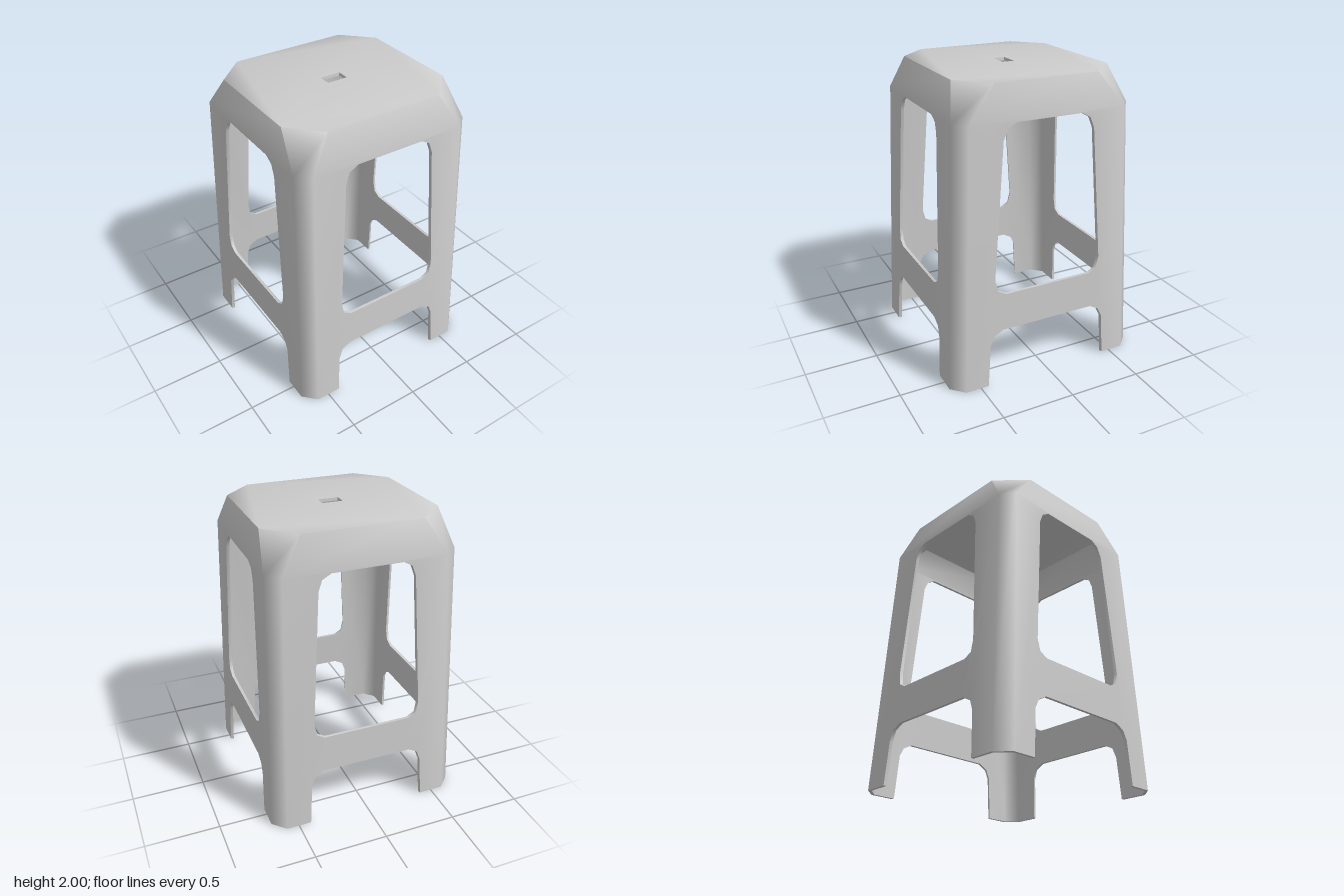
import * as THREE from 'three';
import { toCreasedNormals } from 'three/addons/utils/BufferGeometryUtils.js';

const T = 0.02;        // wall thickness
const H = 1.775;       // height where the walls bend into the seat
const TOP = 2;

// Walls facing z and x: distance from centre, and half width, at floor, bend and seat.
const zSide = {
  w: [0.69, 0.61, 0.545], c: [0.585, 0.54, 0.4],
  arch: [[0.415, 0], [0.4, 0.29], [0.375, 0.36], [0.31, 0.395]],
  window: [[0.3, 0.65], [0.355, 0.68], [0.37, 0.76], [0.32, 1.66], [0.295, 1.73], [0.235, 1.763]],
};
const xSide = {
  w: [0.67, 0.627, 0.59], c: [0.605, 0.535, 0.355],
  arch: [[0.445, 0], [0.425, 0.3], [0.395, 0.36], [0.33, 0.395]],
  window: [[0.31, 0.65], [0.365, 0.68], [0.385, 0.76], [0.315, 1.66], [0.285, 1.73], [0.225, 1.763]],
};
const sides = [zSide, xSide, zSide, xSide];   // front, left, back, right

const mirror = (pts) => pts.map(([u, y]) => [-u, y]).reverse();
const lerp = THREE.MathUtils.lerp;

// Turn a point on the front wall onto wall k
function turn(k, u, y, w) {
  return [[u, y, w], [w, y, -u], [-u, y, -w], [-w, y, u]][k % 4];
}

// Point on wall k at width u, height y and depth d into the wall
function wallPoint(k, u, y, d) {
  const s = sides[k % 4], f = y / H;
  const c = lerp(s.c[0], s.c[1], f);
  return turn(k, u * (1 - 0.414 * d / c), y, lerp(s.w[0], s.w[1], f) - d);
}

// Point of the wall border (sign -1 or 1) at the floor or the bend
const border = (k, sign, level, d) =>
  wallPoint(k, sign * sides[k % 4].c[level], level * H, d);

// Point on the seat plate; depth shrinks it to the inner skin
const seatPoint = (x, v, d) => {
  const s = 1 - d / 0.57;
  return [x * s, TOP - d, -v * s];
};
const seatCorner = (k, sign, d) => {
  const s = sides[k % 4];
  const [x, , z] = turn(k, sign * s.c[2], 0, s.w[2]);
  return seatPoint(x, -z, d);
};

export function createModel() {
  const pos = [];
  const tri = (a, b, c) => pos.push(...a, ...b, ...c);
  const quad = (a, b, c, d) => { tri(a, b, c); tri(a, c, d); };

  // Outer and inner skin between four points given as functions of depth
  const skin = (a, b, c, d) => {
    quad(a(0), b(0), c(0), d(0));
    quad(d(T), c(T), b(T), a(T));
  };
  // Narrow edge of the sheet along a list of points
  const rim = (pts, map) => {
    for (let i = 0; i + 1 < pts.length; i++) {
      const [a, b] = [pts[i], pts[i + 1]];
      quad(map(...a, 0), map(...a, T), map(...b, T), map(...b, 0));
    }
  };
  // Sheet with a counter-clockwise outline and one clockwise hole
  const sheet = (outline, hole, map) => {
    const v2 = (pts) => pts.map((p) => new THREE.Vector2(...p));
    const all = [...outline, ...hole];
    for (const [a, b, c] of THREE.ShapeUtils.triangulateShape(v2(outline), [v2(hole)])) {
      tri(map(...all[a], 0), map(...all[b], 0), map(...all[c], 0));
      tri(map(...all[c], T), map(...all[b], T), map(...all[a], T));
    }
    rim([...hole, hole[0]], map);
  };

  const parts = [];
  const part = (name, build) => {
    const start = pos.length;
    build();
    parts.push({ name, start, end: pos.length });
  };
  const sideNames = ['front', 'left', 'back', 'right'];
  const cornerNames = ['frontLeft', 'backLeft', 'backRight', 'frontRight'];

  for (let k = 0; k < 4; k++) {
    const s = sides[k];
    // Wall with window, rung and leg flanges
    part(sideNames[k] + 'Panel', () => {
      const map = (u, y, d) => wallPoint(k, u, y, d);
      const foot = [[-s.c[0], 0], ...mirror(s.arch).reverse(), ...[...s.arch].reverse(), [s.c[0], 0]];
      const outline = [...foot, [s.c[1], H], [-s.c[1], H]];
      const hole = [...s.window, ...mirror(s.window)].reverse();
      sheet(outline, hole, map);
      rim(foot, map);
    });
    // Chamfered corner of the leg
    part(cornerNames[k] + 'Leg', () => {
      const a = (d) => border(k, 1, 0, d), b = (d) => border(k + 1, -1, 0, d);
      skin(a, b, (d) => border(k + 1, -1, 1, d), (d) => border(k, 1, 1, d));
      quad(a(0), a(T), b(T), b(0));
    });
  }

  // Sloping band from the walls up to the seat
  part('seatShoulder', () => {
    for (let k = 0; k < 4; k++) {
      const wall = (j, sign) => (d) => border(j, sign, 1, d);
      const seat = (j, sign) => (d) => seatCorner(j, sign, d);
      skin(wall(k, -1), wall(k, 1), seat(k, 1), seat(k, -1));
      skin(wall(k, 1), wall(k + 1, -1), seat(k + 1, -1), seat(k, 1));
    }
  });

  // Flat seat with its finger hole
  part('seat', () => {
    const outline = [];
    for (let k = 0; k < 4; k++) {
      for (const sign of [-1, 1]) {
        const [x, , z] = seatCorner(k, sign, 0);
        outline.push([x, -z]);
      }
    }
    const hole = [[-0.07, -0.042], [-0.07, 0.042], [0.07, 0.042], [0.07, -0.042]];
    sheet(outline, hole, seatPoint);
  });

  // Shade the whole shell together, then split it into named parts
  const shell = new THREE.BufferGeometry();
  shell.setAttribute('position', new THREE.Float32BufferAttribute(pos, 3));
  const shaded = toCreasedNormals(shell, 1.1);
  const material = new THREE.MeshStandardMaterial({ color: 0xcccccc });
  const group = new THREE.Group();
  group.name = 'stool';
  for (const { name, start, end } of parts) {
    const g = new THREE.BufferGeometry();
    for (const key of ['position', 'normal']) {
      const data = shaded.getAttribute(key).array.slice(start, end);
      g.setAttribute(key, new THREE.BufferAttribute(data, 3));
    }
    const mesh = new THREE.Mesh(g, material);
    mesh.name = name;
    group.add(mesh);
  }
  return group;
}
